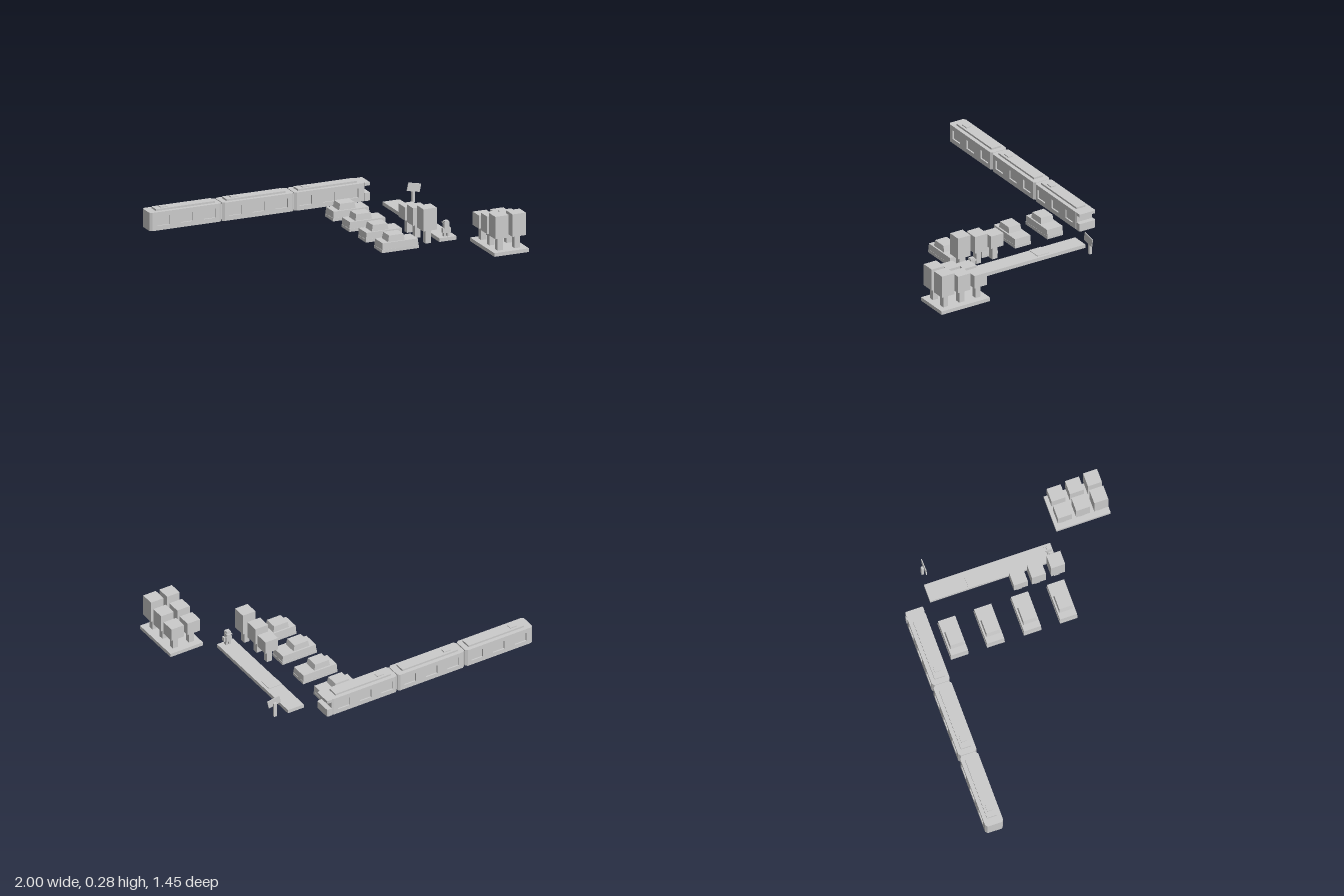
import * as THREE from 'three';

const grey = new THREE.MeshStandardMaterial({ color: 0xcccccc, flatShading: true });

function add(parent, name, geometry) {
  const mesh = new THREE.Mesh(geometry, grey);
  mesh.name = name;
  parent.add(mesh);
  return mesh;
}

function group(parent, name, x = 0, y = 0, z = 0) {
  const g = new THREE.Group();
  g.name = name;
  g.position.set(x, y, z);
  parent.add(g);
  return g;
}

// Box given by its centre in x and z, its bottom and top, and its footprint
function box(parent, name, x, z, y0, y1, w, d) {
  const m = add(parent, name, new THREE.BoxGeometry(w, y1 - y0, d));
  m.position.set(x, (y0 + y1) / 2, z);
  return m;
}

// Box whose top is narrowed by the factors sx and sz
function taperedBox(parent, name, x, z, y0, y1, w, d, sx, sz) {
  const m = box(parent, name, x, z, y0, y1, w, d);
  const p = m.geometry.attributes.position;
  for (let i = 0; i < p.count; i++) {
    if (p.getY(i) > 0) p.setXYZ(i, p.getX(i) * sx, p.getY(i), p.getZ(i) * sz);
  }
  m.geometry.computeVertexNormals();
  return m;
}

// Plan outline (x, z) raised from y0 to y1
function prism(parent, name, points, y0, y1) {
  const shape = new THREE.Shape(points.map(([x, z]) => new THREE.Vector2(x, -z)));
  const g = new THREE.ExtrudeGeometry(shape, { depth: y1 - y0, bevelEnabled: false });
  g.rotateX(-Math.PI / 2).translate(0, y0, 0);
  return add(parent, name, g);
}

const mirrorZ = (half) => [...half, ...half.map(([x, z]) => [x, -z]).reverse()];

function carriage(parent, x0, x1, windows, roof, hasCab) {
  const g = group(parent, 'carriage', 0, 0, -0.668);
  const end = hasCab ? x1 - 0.035 : x1;
  // Core with chamfered ends and recessed flanks
  prism(g, 'carriageCore', mirrorZ([
    [x0, 0.048], [x0 + 0.016, 0.06], [x0 + 0.016, 0.05],
    [end - 0.016, 0.05], [end - 0.016, 0.06], [end, hasCab ? 0.055 : 0.048],
  ]), 0.04, 0.16);

  // Side walls with window openings
  const a = x0 + 0.016, b = end - 0.016;
  const wall = new THREE.Shape([[a, 0.04], [b, 0.04], [b, 0.16], [a, 0.16]]
    .map(([x, y]) => new THREE.Vector2(x, y)));
  for (const x of windows) {
    wall.holes.push(new THREE.Path([[x, 0.07], [x, 0.13], [x + 0.085, 0.13], [x + 0.085, 0.07]]
      .map(([u, v]) => new THREE.Vector2(u, v))));
  }
  for (const z of [0.05, -0.06]) {
    const geometry = new THREE.ExtrudeGeometry(wall, { depth: 0.01, bevelEnabled: false });
    add(g, 'windowWall', geometry).position.z = z;
  }

  // Cab nose under an overhanging brow
  if (hasCab) {
    const nose = mirrorZ([[end, 0.06], [x1 - 0.008, 0.06], [x1, 0.055]]);
    prism(g, 'cabNose', nose, 0.04, 0.093);
    prism(g, 'cabBrow', nose, 0.14, 0.16);
  }
  box(g, 'roofStrip', roof + 0.205, 0, 0.16, 0.172, 0.41, 0.068);
  box(g, 'roofUnit', roof + 0.065, 0, 0.172, 0.178, 0.05, 0.035);
}

function car(parent, z) {
  const g = group(parent, 'car', 0.308, 0, z);
  box(g, 'carSill', 0, 0, 0, 0.02, 0.254, 0.118);
  taperedBox(g, 'carBody', 0, 0, 0.02, 0.063, 0.25, 0.116, 0.98, 0.98);
  taperedBox(g, 'carCabin', -0.022, 0, 0.063, 0.104, 0.116, 0.092, 0.86, 0.94);
}

function tree(parent, x, z, base, crownBottom, top) {
  const g = group(parent, 'tree', x, 0, z);
  box(g, 'trunk', 0, 0, base, crownBottom, 0.037, 0.037);
  box(g, 'crown', 0, 0, crownBottom, top, 0.093, 0.093);
}

export function createModel() {
  const model = new THREE.Group();
  model.name = 'stationScene';

  // Train of three carriages
  const train = group(model, 'train');
  carriage(train, -1, -0.503, [-0.95, -0.788, -0.628], -0.948, false);
  carriage(train, -0.497, -0.003, [-0.453, -0.293, -0.132], -0.459, false);
  carriage(train, 0.002, 0.523, [0.035, 0.196, 0.357], 0.036, true);
  for (const x of [-0.5, 0]) box(train, 'coupling', x, -0.668, 0.05, 0.15, 0.02, 0.09);

  // Parked cars
  const parking = group(model, 'parkedCars');
  for (const z of [-0.483, -0.243, 0.002, 0.242]) car(parking, z);

  // Row of trees beside the cars
  const row = group(model, 'treeRow');
  tree(row, 0.496, 0.018, 0.018, 0.11, 0.197);
  tree(row, 0.496, 0.138, 0.018, 0.11, 0.226);
  tree(row, 0.506, 0.27, 0.018, 0.11, 0.255);

  // Grove on a slab
  const grove = group(model, 'grove');
  box(grove, 'groveBase', 0.88, 0.545, 0.02, 0.044, 0.24, 0.362);
  for (const x of [0.818, 0.937]) {
    [[0.425, 0.217], [0.547, 0.245], [0.667, 0.278]].forEach(([z, top]) =>
      tree(grove, x, z, 0.044, 0.13, top));
  }

  // Platform with a raised pad
  const platform = group(model, 'platform');
  box(platform, 'platformSlab', 0.637, -0.12, 0.02, 0.044, 0.118, 0.84);
  box(platform, 'platformPad', 0.627, -0.24, 0.044, 0.048, 0.096, 0.088);

  // Waiting figure
  const figure = group(model, 'waitingFigure', 0.637, 0, 0.27);
  for (const s of [-1, 1]) {
    box(figure, 'leg', s * 0.011, 0, 0.044, 0.07, 0.014, 0.024);
    box(figure, 'arm', s * 0.023, 0.006, 0.07, 0.1, 0.01, 0.024);
  }
  box(figure, 'torso', 0, 0, 0.068, 0.104, 0.036, 0.03);
  box(figure, 'head', 0, 0, 0.104, 0.14, 0.034, 0.034);
  box(figure, 'hat', 0, 0, 0.14, 0.146, 0.028, 0.028);
  box(figure, 'hatBrim', 0, -0.008, 0.126, 0.131, 0.036, 0.04);

  // Tilted sign on a post
  const sign = group(model, 'sign', 0.78, 0, -0.515);
  box(sign, 'signPost', 0, -0.005, 0.02, 0.118, 0.02, 0.016);
  box(sign, 'signPanel', 0, 0.006, 0.094, 0.148, 0.09, 0.006).rotation.z = -0.2;

  return model;
}
